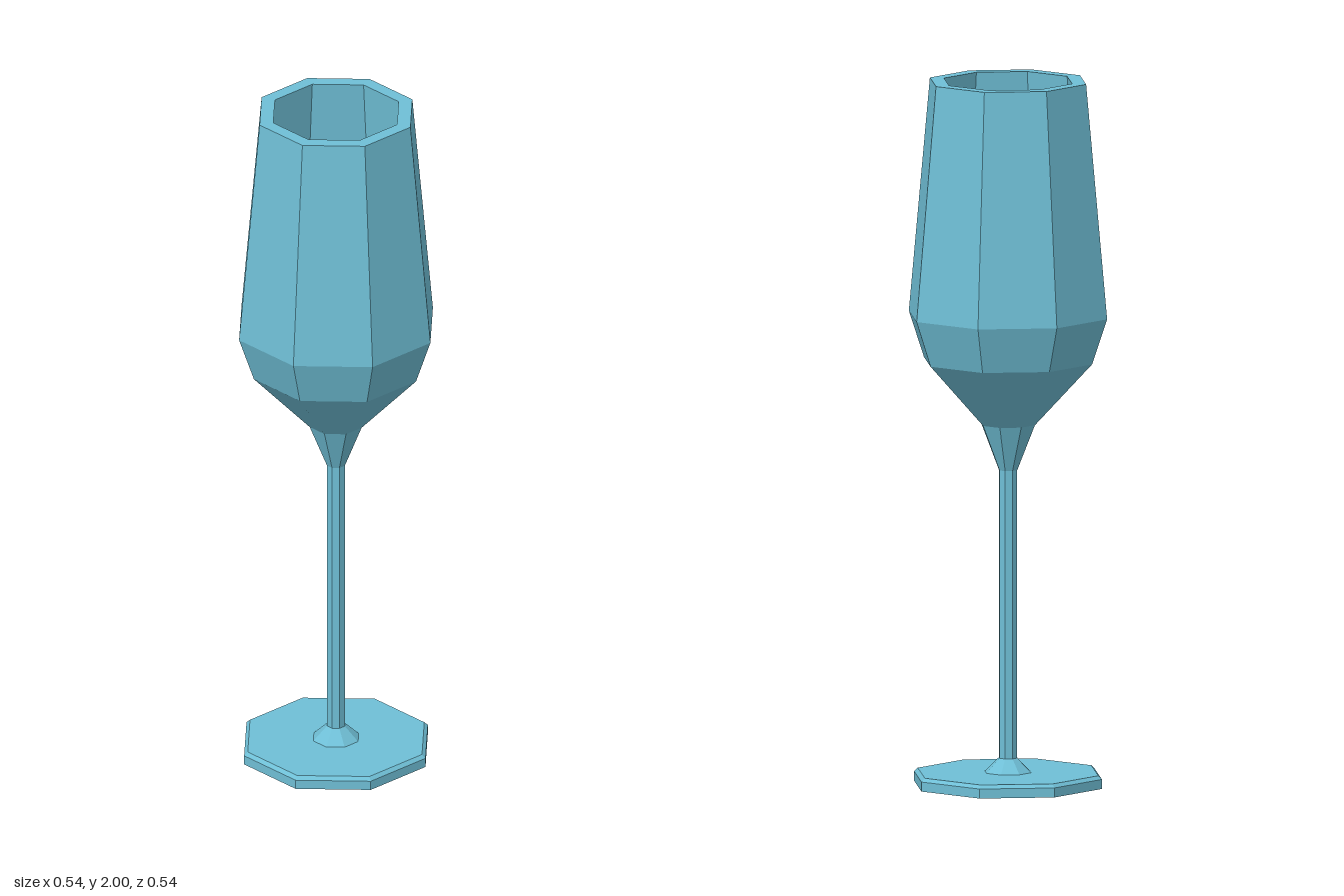
import * as THREE from 'three';

const SIDES = 8;
const CORNER = 1 / Math.cos(Math.PI / SIDES); // flat-to-centre distance -> corner radius

// Eight-sided turned part; profile entries are [distance to flat side, height].
function turned(name, profile, material) {
  const points = profile.map(([r, y]) => new THREE.Vector2(r * CORNER, y));
  const geometry = new THREE.LatheGeometry(points, SIDES, Math.PI / SIDES);
  const mesh = new THREE.Mesh(geometry, material);
  mesh.name = name;
  return mesh;
}

export function createModel() {
  const group = new THREE.Group();
  group.name = 'fluteGlass';
  const glass = new THREE.MeshStandardMaterial({ color: 0x6fbfd6, flatShading: true });

  // Flat foot with a bevelled edge and a small collar around the stem
  group.add(turned('foot', [
    [0, 0], [0.255, 0], [0.255, 0.027], [0.245, 0.037], [0.063, 0.037], [0.025, 0.077],
  ], glass));

  // Thin straight stem
  group.add(turned('stem', [[0.025, 0.077], [0.025, 0.895]], glass));

  // Bowl: outer wall up to the rim, then the inner wall down to a small floor
  group.add(turned('bowl', [
    [0.025, 0.895], [0.073, 1.025], [0.228, 1.205], [0.269, 1.335], [0.212, 2],
    [0.174, 2], [0.231, 1.34], [0.195, 1.225], [0.043, 1.05], [0, 1.05],
  ], glass));

  return group;
}
